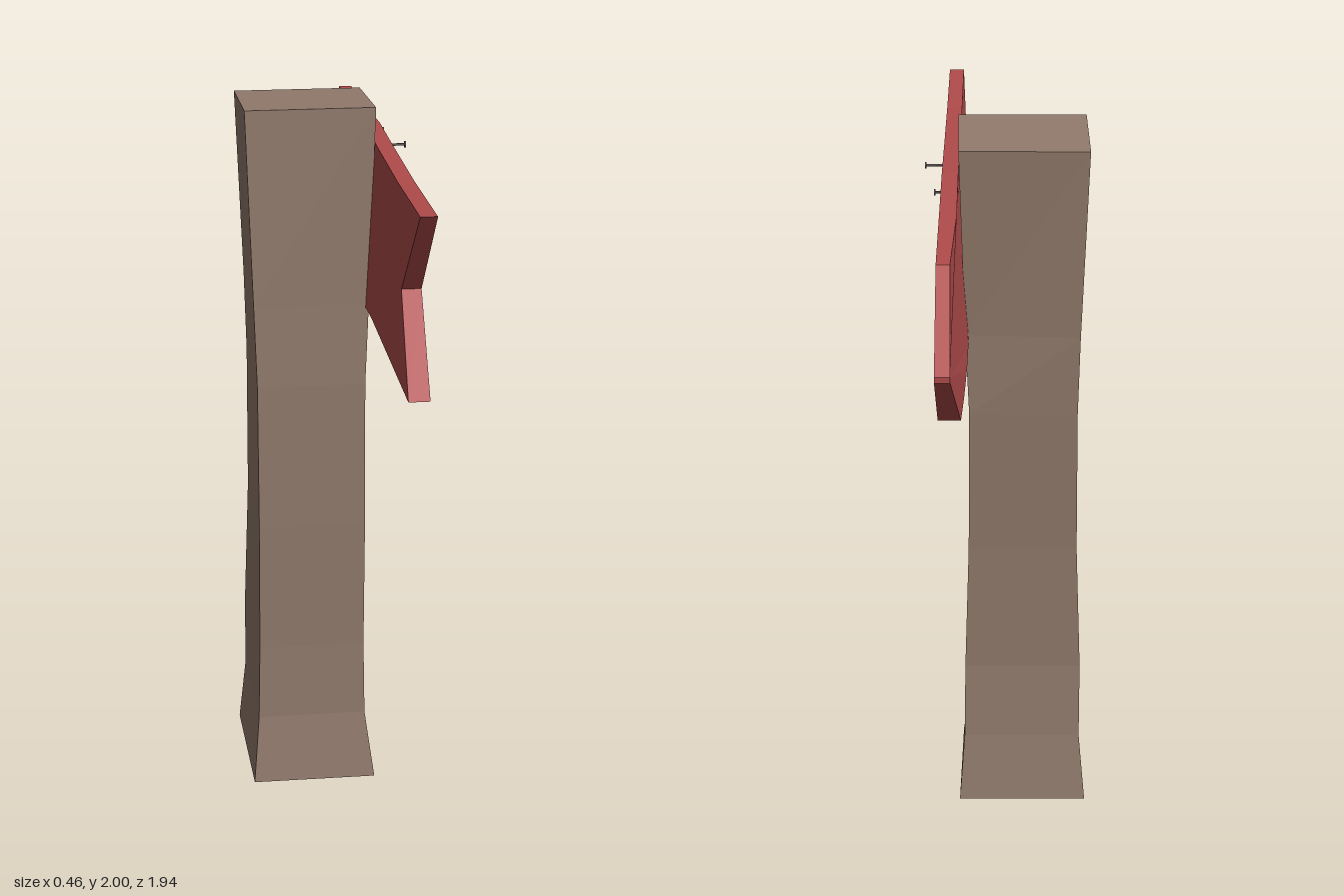
import * as THREE from 'three';

const material = (name, color) => {
  const m = new THREE.MeshStandardMaterial({ color });
  m.name = name;
  return m;
};

// Moves every vertex by a rule, then gives each face its own flat normal
function reshape(geometry, rule) {
  const geo = geometry.index ? geometry.toNonIndexed() : geometry;
  const p = geo.attributes.position;
  for (let i = 0; i < p.count; i++) {
    p.setXYZ(i, ...rule(p.getX(i), p.getY(i), p.getZ(i)));
  }
  geo.computeVertexNormals();
  return geo;
}

// Post sections: y, front x min/max, back x min/max, front z, back z on the -x and +x corners
const POST = [
  [0.0, -0.22, 0.135, -0.23, 0.14, 0.228, -0.197, -0.197],
  [0.2, -0.203, 0.108, -0.212, 0.125, 0.2, -0.167, -0.167],
  [0.42, -0.198, 0.105, -0.213, 0.122, 0.19, -0.146, -0.146],
  [0.8, -0.196, 0.107, -0.2, 0.11, 0.189, -0.146, -0.143],
  [1.22, -0.197, 0.106, -0.198, 0.106, 0.181, -0.16, -0.152],
  [1.45, -0.204, 0.116, -0.204, 0.116, 0.168, -0.162, -0.138],
  [2.0, -0.222, 0.135, -0.225, 0.13, 0.145, -0.167, -0.165],
];

function postGeometry() {
  const n = POST.length - 1;
  const box = new THREE.BoxGeometry(1, n, 1, 1, n, 1);
  return reshape(box, (x, y, z) => {
    const row = Math.round(y + n / 2);
    const [h, fl, fr, bl, br, zf, zbl, zbr] = POST[row];
    const front = z > 0, plus = x > 0;
    const slant = row === n && !front ? 0.018 : 0; // top slopes to the back
    return [front ? (plus ? fr : fl) : (plus ? br : bl), h - slant, front ? zf : (plus ? zbr : zbl)];
  });
}

// Arrow board outline as z, y
const BOARD = [
  [0.95, 1.926], [0.58, 1.91], [0.2, 1.903], [-0.08, 1.9], [-0.4, 1.876], [-0.73, 1.854],
  [-0.97, 1.648], [-0.97, 1.632], [-0.715, 1.43], [-0.56, 1.43], [-0.38, 1.441], [-0.17, 1.43],
  [0.02, 1.43], [0.28, 1.449], [0.97, 1.459], [0.748, 1.68],
];

function boardGeometry() {
  const shape = new THREE.Shape(BOARD.map(([z, y]) => new THREE.Vector2(-z, y)));
  const geo = new THREE.ExtrudeGeometry(shape, { depth: 1, bevelEnabled: false });
  geo.rotateY(Math.PI / 2);
  // Inner face leans with height and thins toward the point
  return reshape(geo, (x, y, z) => {
    const inner = 0.107 + (y - 1.44) * 0.055 + Math.max(0, -z - 0.4) * 0.035;
    const outer = 0.177 - 0.03 * Math.max(0, z) * (1.926 - y);
    return [x > 0.5 ? outer : inner, y, z];
  });
}

export function createModel() {
  const wood = material('brown wood', 0x917a6c);
  const paint = material('red paint', 0xb04b4b);
  const iron = material('dark iron', 0x5c5652);

  const model = new THREE.Group();
  model.name = 'signpost';
  const add = (name, geometry, mat, parent = model) => {
    const mesh = new THREE.Mesh(geometry, mat);
    mesh.name = name;
    parent.add(mesh);
    return mesh;
  };

  add('post', postGeometry(), wood);
  add('arrowBoard', boardGeometry(), paint);

  // Nails driven in from the board's outer side: tip x, y, z
  [[0.228, 1.876, 0.07], [0.197, 1.863, -0.145], [0.181, 1.457, 0.038]].forEach(([tip, y, z], i) => {
    const nail = new THREE.Group();
    nail.name = `nail${i + 1}`;
    const length = tip - 0.13;
    const shaft = new THREE.CylinderGeometry(0.0035, 0.0035, length, 6).rotateZ(-Math.PI / 2);
    const head = new THREE.CylinderGeometry(0.009, 0.009, 0.004, 8).rotateZ(-Math.PI / 2);
    add('nailShaft', shaft, iron, nail).position.x = -length / 2;
    add('nailHead', head, iron, nail).position.x = -0.002;
    nail.position.set(tip, y, z);
    model.add(nail);
  });

  return model;
}
